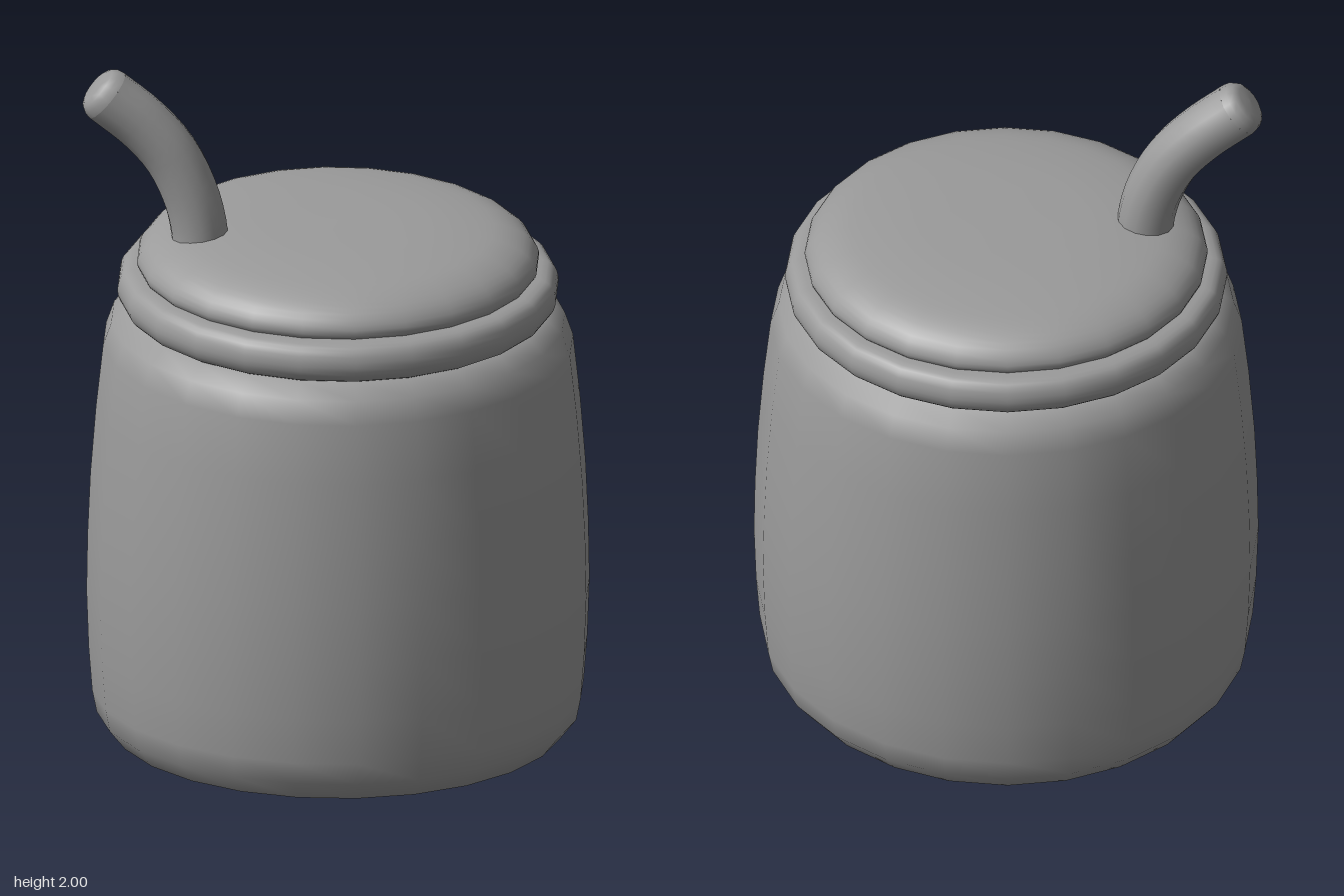
import * as THREE from 'three';

const SIDES = 24;
const TILT = 0.045; // the rim and lid rise towards the back
const material = new THREE.MeshStandardMaterial({ color: 0x9b9b9b, side: THREE.DoubleSide });

// Lathe a smooth profile, slightly deeper than wide, tilted above the belly
function turned(name, points, depth, smooth) {
  const pts = points.map(([r, y]) => new THREE.Vector2(r, y));
  const profile = smooth ? new THREE.SplineCurve(pts).getPoints(smooth) : pts;
  const geo = new THREE.LatheGeometry(profile, SIDES, -0.03);
  const pos = geo.attributes.position;
  const normal = geo.attributes.normal;
  for (let i = 0; i < pos.count; i++) {
    const y = pos.getY(i);
    const z = pos.getZ(i) * depth;
    const k = TILT * THREE.MathUtils.smoothstep(y, 0.6, 1.25);
    pos.setXYZ(i, pos.getX(i), y - k * z, z);
    const n = new THREE.Vector3(normal.getX(i), normal.getY(i), normal.getZ(i) + k * normal.getY(i)).normalize();
    normal.setXYZ(i, n.x, n.y, n.z);
  }
  const mesh = new THREE.Mesh(geo, material);
  mesh.name = name;
  mesh.position.x = 0.003;
  return mesh;
}

// Bent straw with a flat, softly bevelled closed tip
function createStraw() {
  const straw = new THREE.Group();
  straw.name = 'straw';
  const curve = new THREE.CatmullRomCurve3([
    [-0.388, 1.44, 0.012], [-0.395, 1.54, 0.01], [-0.42, 1.64, 0.005],
    [-0.473, 1.75, -0.005], [-0.55, 1.84, -0.015], [-0.652, 1.925, -0.022],
  ].map((p) => new THREE.Vector3(...p)));
  const tube = new THREE.Mesh(new THREE.TubeGeometry(curve, 16, 0.081, 14), material);
  tube.name = 'strawTube';
  const capProfile = [[0.081, 0], [0.077, 0.02], [0.066, 0.036], [0.048, 0.045], [0, 0.047]];
  const cap = new THREE.Mesh(
    new THREE.LatheGeometry(capProfile.map(([r, y]) => new THREE.Vector2(r, y)), 14), material);
  cap.name = 'strawTip';
  cap.position.copy(curve.getPoint(1));
  cap.quaternion.setFromUnitVectors(new THREE.Vector3(0, 1, 0), curve.getTangent(1));
  straw.add(tube, cap);
  return straw;
}

export function createModel() {
  const model = new THREE.Group();
  model.name = 'jarWithStraw';
  model.add(
    // Bulging jar with rounded base and shoulder
    turned('jarBody', [
      [0, 0], [0.3, 0.001], [0.57, 0.005], [0.64, 0.028], [0.685, 0.085], [0.698, 0.15], [0.708, 0.28],
      [0.714, 0.45], [0.711, 0.62], [0.703, 0.8], [0.687, 1.0], [0.667, 1.18], [0.644, 1.245],
      [0.6, 1.283], [0.54, 1.3], [0.4, 1.302],
    ], 1.02),
    // Rounded band around the rim
    turned('rimBand', [
      [0.5, 1.287], [0.58, 1.286], [0.612, 1.302], [0.626, 1.34],
      [0.615, 1.383], [0.58, 1.402], [0.5, 1.403],
    ], 1.035, 18),
    // Low domed lid
    turned('lid', [
      [0.52, 1.385], [0.56, 1.4], [0.57, 1.43], [0.545, 1.47],
      [0.49, 1.501], [0.41, 1.519], [0.25, 1.533], [0, 1.537],
    ], 1.035, 21),
    createStraw(),
  );
  return model;
}
